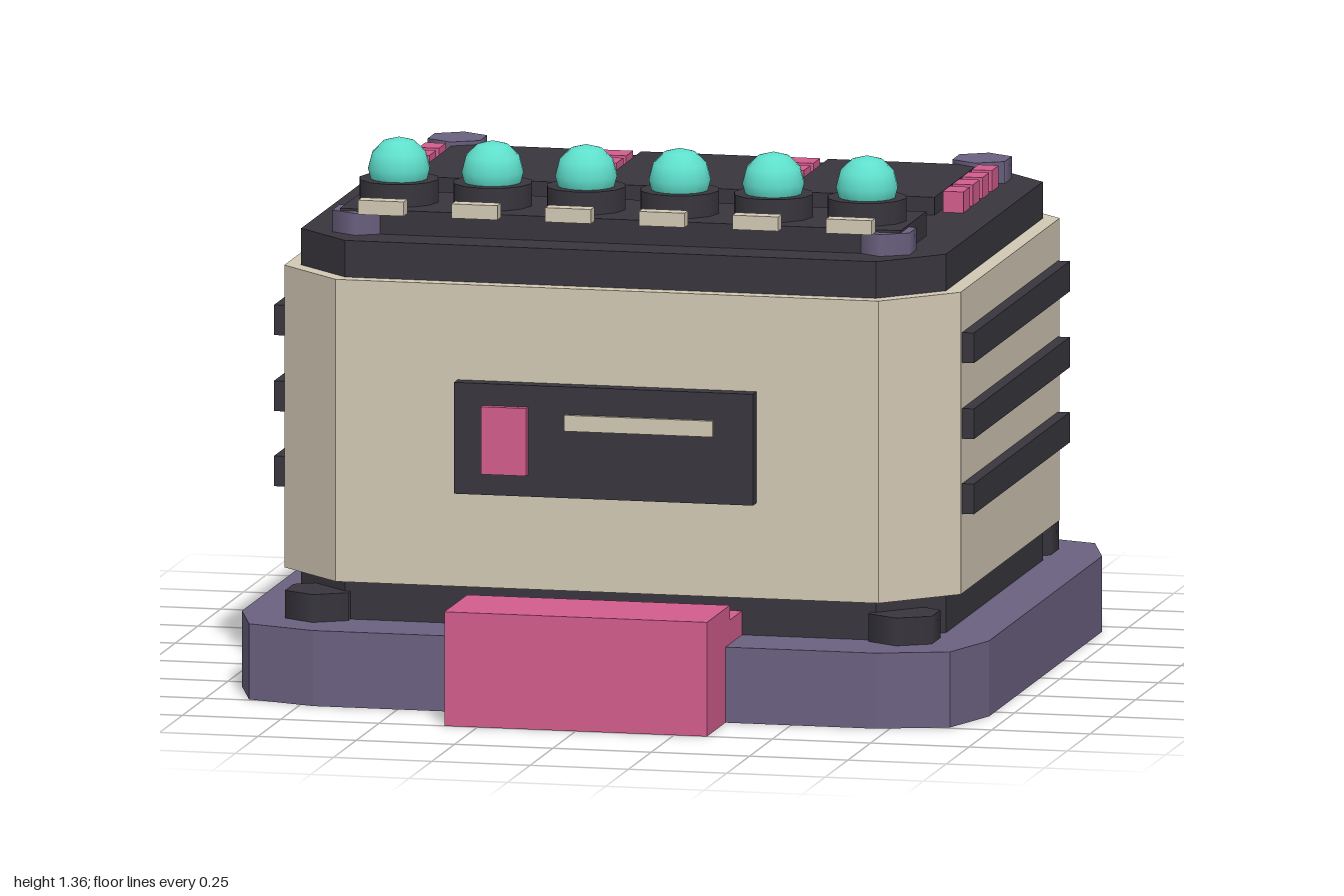
import * as THREE from 'three';

const material = (name, color) => Object.assign(new THREE.MeshStandardMaterial({ color }), { name });

export function createModel() {
  const model = new THREE.Group();
  model.name = 'machine';

  const beige = material('beige', 0xd2c8b4);
  const dark = material('charcoal', 0x38363d);
  const purple = material('purple', 0x6b6180);
  const pink = material('pink', 0xd25d8d);
  const teal = material('teal', 0x5fdfcc);
  const midZ = -0.0575; // depth centre of the housing

  const add = (name, geometry, mat) => {
    const mesh = new THREE.Mesh(geometry, mat);
    mesh.name = name;
    model.add(mesh);
    return mesh;
  };

  // Box from its limits on each axis
  const box = (name, mat, [x0, x1], [y0, y1], [z0, z1]) =>
    add(name, new THREE.BoxGeometry(x1 - x0, y1 - y0, z1 - z0), mat)
      .position.set((x0 + x1) / 2, (y0 + y1) / 2, (z0 + z1) / 2);

  // Upright prism standing on y0
  const prism = (name, mat, radius, sides, x, y0, y1, z) =>
    add(name, new THREE.CylinderGeometry(radius, radius, y1 - y0, sides).toNonIndexed(), mat)
      .position.set(x, (y0 + y1) / 2, z);

  // Slab with cut corners; bulge adds a middle point to each corner
  const slab = (name, mat, w, d, cut, y0, y1, bulge = false) => {
    const corner = [[w, d - cut], [w - cut / 4, d - cut / 4], [w - cut, d]];
    if (!bulge) corner.splice(1, 1);
    const back = [...corner].reverse();
    const points = [
      ...corner,
      ...back.map(([x, z]) => [-x, z]),
      ...corner.map(([x, z]) => [-x, -z]),
      ...back.map(([x, z]) => [x, -z]),
    ].map(([x, z]) => new THREE.Vector2(x, z));
    const geometry = new THREE.ExtrudeGeometry(new THREE.Shape(points), { depth: y1 - y0, bevelEnabled: false });
    geometry.rotateX(-Math.PI / 2);
    add(name, geometry, mat).position.set(0, y0, midZ);
  };

  // Stacked housing
  slab('base', purple, 0.95, 0.855, 0.235, 0, 0.19, true);
  slab('plinth', dark, 0.82, 0.675, 0.145, 0.19, 0.29);
  slab('body', beige, 0.86, 0.713, 0.17, 0.29, 1.05);
  slab('lid', dark, 0.82, 0.675, 0.145, 1.05, 1.142);

  // Feet, lid bolts and side vents
  for (const s of [-1, 1]) {
    for (const z of [0.593, -0.71]) prism('foot', dark, 0.093, 6, s * 0.742, 0.19, 0.26, z);
    for (const z of [0.465, -0.582]) prism('bolt', purple, 0.077, 6, s * 0.667, 1.142, 1.197, z);
    for (const y of [0.528, 0.717, 0.908]) {
      const xs = s > 0 ? [0.85, 0.89] : [-0.89, -0.85];
      box('sideVent', dark, xs, [y - 0.038, y + 0.038], [-0.582, 0.47]);
    }
  }

  // Front step
  box('stepBlock', pink, [-0.334, 0.334], [0, 0.287], [0.75, 1]);
  box('stepLedge', pink, [-0.334, 0.334], [0, 0.25], [0.615, 0.75]);

  // Front control panel
  box('frontPanel', dark, [-0.38, 0.38], [0.53, 0.81], [0.64, 0.695]);
  box('frontButton', pink, [-0.307, -0.192], [0.585, 0.755], [0.69, 0.715]);
  box('frontSlot', beige, [-0.098, 0.28], [0.7, 0.74], [0.69, 0.705]);

  // Lamp strip: six domes on sockets with a tag in front of each
  box('lampStrip', dark, [-0.713, 0.713], [1.14, 1.203], [0.228, 0.51]);
  for (let i = 0; i < 6; i++) {
    const x = (i - 2.5) * 0.238;
    prism('lampSocket', dark, 0.1, 12, x, 1.2, 1.26, 0.37);
    const dome = new THREE.SphereGeometry(0.078, 16, 6);
    add('lampDome', dome, teal).position.set(x, 1.286, 0.37);
    box('lampTag', beige, [x - 0.058, x + 0.058], [1.2, 1.236], [0.53, 0.57]);
  }

  // Lid plates with rows of lights between them
  for (const x of [-0.476, 0, 0.476]) {
    box('lidPlate', dark, [x - 0.19, x + 0.19], [1.14, 1.187], [-0.537, -0.062]);
  }
  for (const [x, half] of [[-0.703, 0.026], [-0.238, 0.037], [0.238, 0.037], [0.703, 0.026]]) {
    for (let row = 0; row < 4; row++) {
      const z = -0.46 + row * 0.105;
      box('lidLight', pink, [x - half, x + half], [1.14, 1.195], [z - 0.037, z + 0.037]);
    }
  }

  // Rear connector
  box('rearBox', dark, [-0.428, 0.428], [0.48, 0.857], [-0.92, -0.76]);
  box('rearPlate', pink, [-0.333, 0.333], [0.575, 0.762], [-0.97, -0.91]);
  for (let i = 0; i < 6; i++) {
    const x = (i - 2.5) * 0.1143;
    box('rearPin', dark, [x - 0.028, x + 0.028], [0.622, 0.714], [-1, -0.96]);
  }

  return model;
}
